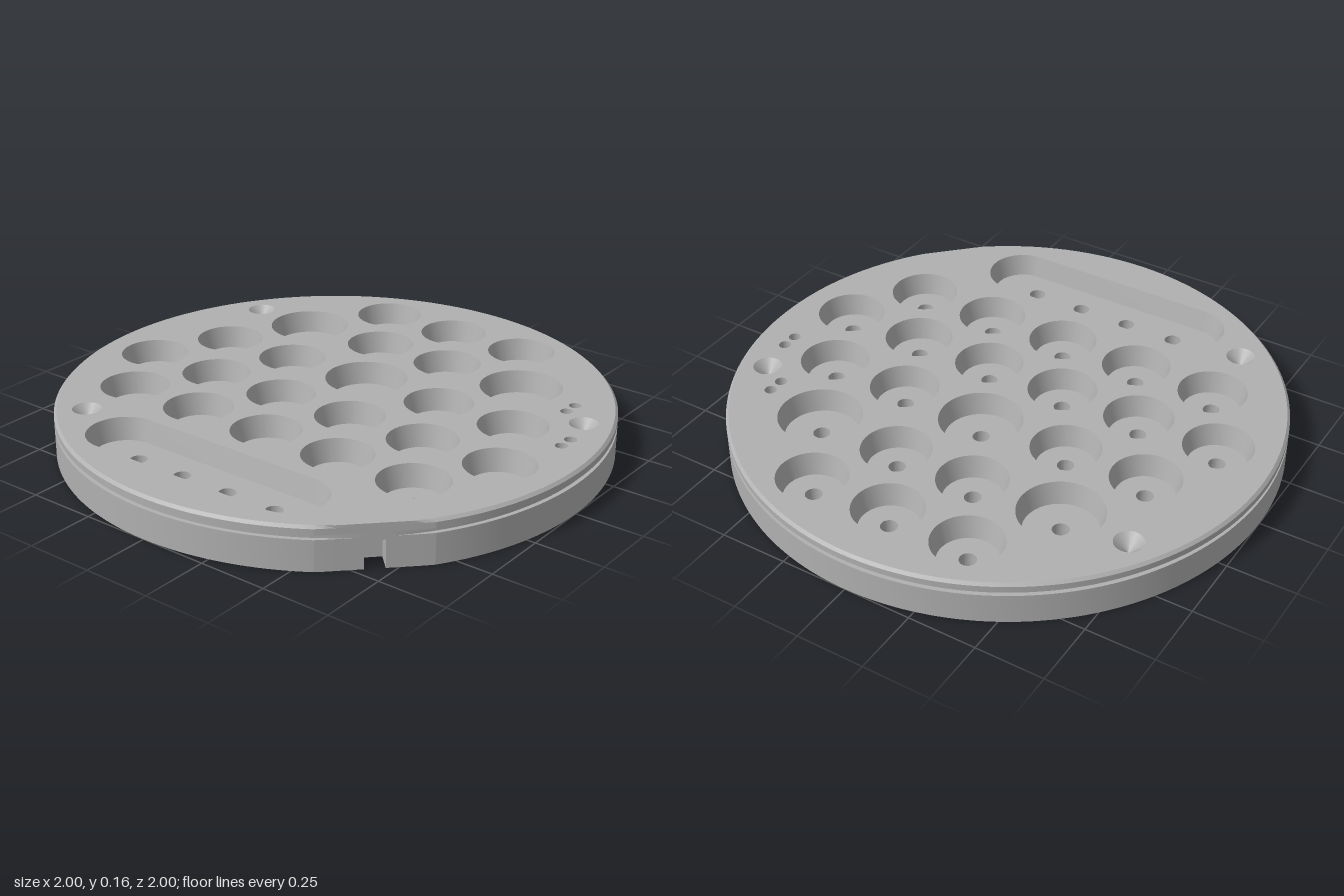
import * as THREE from 'three';
import { mergeGeometries, toCreasedNormals } from 'three/addons/utils/BufferGeometryUtils.js';

const TOP = 0.16, FLOOR = 0.08, FLAT = 0.983, NOTCH_TOP = 0.1, NOTCH_IN = 0.91, NOTCH_W = 0.034;

// Closed outline of [x, z] points: a circle, or a stadium when half > 0
function ring(x, z, r, half = 0, n = 64) {
  return Array.from({ length: n }, (_, i) => {
    const t = ((i + 0.5) / n) * Math.PI * 2;
    return [x + r * Math.cos(t) + half * Math.sign(Math.cos(t)), z + r * Math.sin(t)];
  });
}

// Turns (outward, sideways) coordinates to the diagonal that carries the flat
const diagonal = ([u, v]) => [(u - v) * Math.SQRT1_2, (u + v) * Math.SQRT1_2];

// Disc outline with one flat, optionally with the locating notch
function discOutline(r, notched = false) {
  const pts = [], n = 180;
  let cut = false;
  for (let i = 0; i < n; i++) {
    const t = -Math.PI + ((i + 0.5) / n) * Math.PI * 2;
    const u = Math.min(r * Math.cos(t), FLAT), v = r * Math.sin(t);
    if (notched && u > 0 && Math.abs(v) < NOTCH_W + 0.002) {
      if (!cut) pts.push([FLAT, -NOTCH_W], [NOTCH_IN, -NOTCH_W], [NOTCH_IN, NOTCH_W], [FLAT, NOTCH_W]);
      cut = true;
    } else pts.push([u, v]);
  }
  return pts.map(diagonal);
}

// Wall joining outline a at ya to outline b at yb; rising faces out, falling faces in
function wall(a, ya, b, yb) {
  const pos = [];
  a.forEach((p, i) => {
    const j = (i + 1) % a.length;
    const a0 = [p[0], ya, p[1]], a1 = [a[j][0], ya, a[j][1]];
    const b0 = [b[i][0], yb, b[i][1]], b1 = [b[j][0], yb, b[j][1]];
    pos.push(...a0, ...b0, ...b1, ...a0, ...b1, ...a1);
  });
  const g = new THREE.BufferGeometry();
  g.setAttribute('position', new THREE.Float32BufferAttribute(pos, 3));
  return toCreasedNormals(g, 0.15);
}

// Flat face at height y with holes, facing up or down
function cap(outline, y, holes = [], up = true) {
  const s = up ? -1 : 1;
  const to2 = (o) => o.map(([x, z]) => new THREE.Vector2(x, s * z));
  const shape = new THREE.Shape(to2(outline));
  holes.forEach((h) => shape.holes.push(new THREE.Path(to2(h))));
  const g = new THREE.ShapeGeometry(shape).rotateX((s * Math.PI) / 2).translate(0, y, 0).toNonIndexed();
  g.deleteAttribute('uv');
  return g;
}

export function createModel() {
  const model = new THREE.Group();
  const grey = new THREE.MeshStandardMaterial({ color: 0xb0b0b0 });
  grey.name = 'grey';
  const add = (name, parts) => {
    const mesh = new THREE.Mesh(mergeGeometries(parts), grey);
    mesh.name = name;
    model.add(mesh);
  };
  const topHoles = [], bottomHoles = [];

  // Tapered pocket with drilled floor
  function pocket(name, x, z, r, half, drillXs) {
    const rim = ring(x, z, r, half), base = ring(x, z, r - 0.02, half);
    const drills = drillXs.map((dx) => ring(dx, z, 0.03, 0, 32));
    topHoles.push(rim);
    bottomHoles.push(...drills);
    add(name, [wall(rim, TOP, base, FLOOR), cap(base, FLOOR, drills),
      ...drills.map((d) => wall(d, FLOOR, d, 0))]);
  }

  // Rows of round pockets: z, radius, x positions
  const rows = [
    [-0.745, 0.125, [-0.31, 0, 0.31]],
    [-0.475, 0.125, [-0.155, 0.155]],
    [-0.46, 0.15, [-0.49, 0.49]],
    [-0.18, 0.15, [0]],
    [-0.163, 0.125, [-0.645, -0.335, 0.335, 0.645]],
    [0.12, 0.125, [-0.775, -0.465, -0.155, 0.155, 0.465, 0.775]],
    [0.388, 0.125, [-0.62, -0.31, 0, 0.31, 0.62]],
  ];
  for (const [z, r, xs] of rows) for (const x of xs) pocket('roundPocket', x, z, r, 0, [x]);

  // Long tray pocket at the front
  pocket('longPocket', 0, 0.705, 0.13, 0.367, [-0.3, -0.1, 0.1, 0.3]);

  // Conical dimples in the top
  for (const [x, z] of [[-0.75, -0.475], [0.83, -0.325], [-0.61, 0.64]]) {
    const rim = ring(x, z, 0.052, 0, 40);
    topHoles.push(rim);
    add('conicalDimple', [wall(rim, TOP, ring(x, z, 0.0005, 0, 40), TOP - 0.05)]);
  }

  // Small blind marker holes
  for (const [x, z] of [[0.73, -0.435], [0.73, -0.375], [0.86, -0.185], [0.86, -0.125]]) {
    const rim = ring(x, z, 0.022, 0, 32);
    topHoles.push(rim);
    add('markerHole', [wall(rim, TOP, rim, TOP - 0.04), cap(rim, TOP - 0.04)]);
  }

  // Blind holes in the underside
  for (const [x, z] of [[0.64, -0.64], [-0.64, -0.64], [-0.64, 0.64]]) {
    const rim = ring(x, z, 0.05, 0, 40);
    bottomHoles.push(rim);
    add('undersideHole', [wall(rim, 0.08, rim, 0), cap(rim, 0.08, [], false)]);
  }

  // Notched lower rim and notch ceiling
  const notched = discOutline(1, true);
  const ceiling = [[NOTCH_IN, -NOTCH_W], [FLAT, -NOTCH_W], [FLAT, NOTCH_W], [NOTCH_IN, NOTCH_W]].map(diagonal);
  add('lowerRim', [wall(notched, 0, notched, NOTCH_TOP), cap(ceiling, NOTCH_TOP, [], false)]);

  // Upper rim with groove and chamfered lip: radius, height
  const profile = [[1, NOTCH_TOP], [1, 0.112], [0.985, 0.112], [0.985, 0.128], [1, 0.128], [1, 0.15], [0.99, TOP]];
  add('upperRim', profile.slice(1).map(([r, y], i) =>
    wall(discOutline(profile[i][0]), profile[i][1], discOutline(r), y)));

  // Top and bottom faces
  add('topFace', [cap(discOutline(0.99), TOP, topHoles)]);
  add('bottomFace', [cap(notched, 0, bottomHoles, false)]);
  return model;
}
